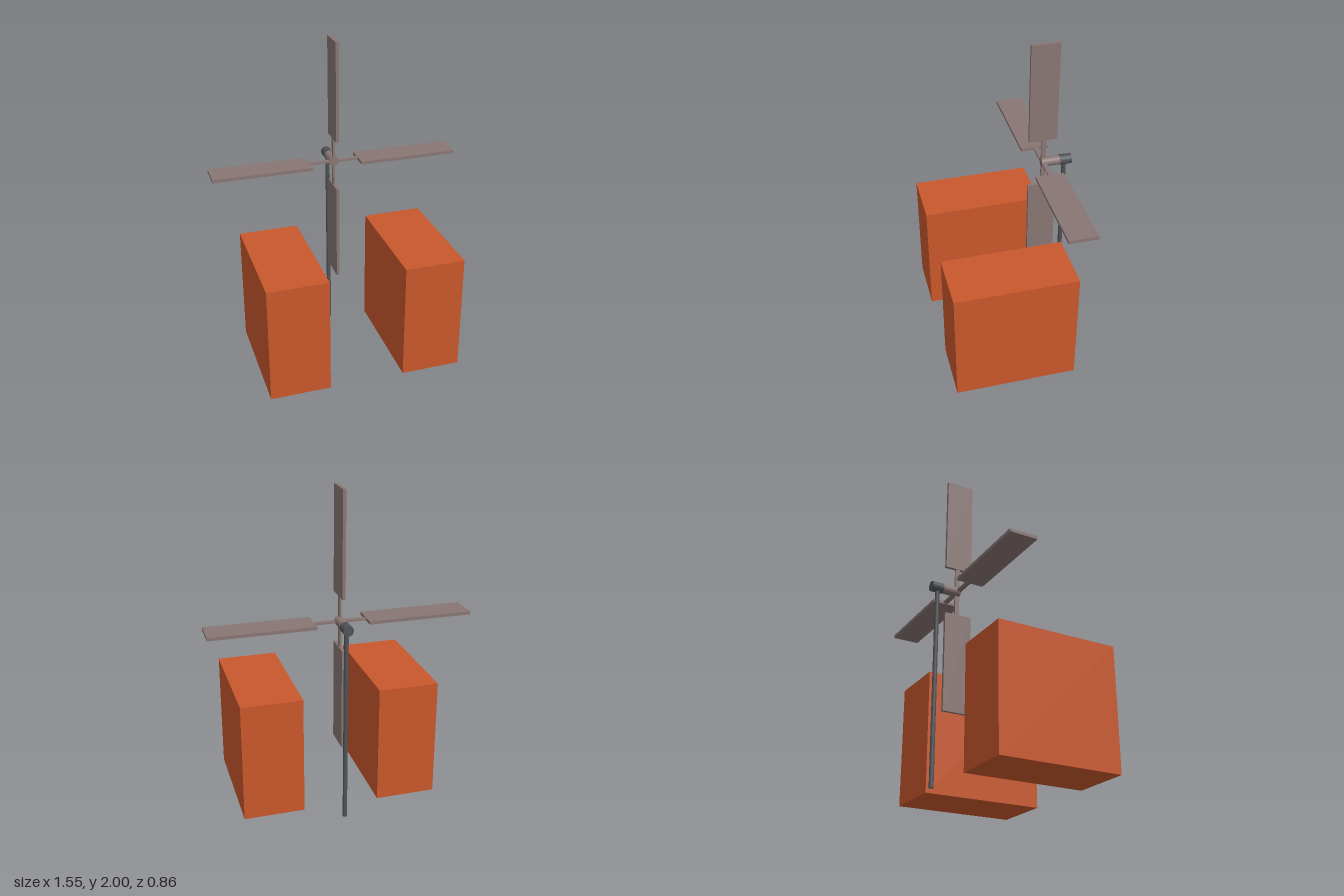
import * as THREE from 'three';

const HUB_Y = 1.225;

export function createModel() {
  const orange = new THREE.MeshStandardMaterial({ name: 'orange', color: 0xc9582c });
  const warmGrey = new THREE.MeshStandardMaterial({ name: 'warm grey', color: 0x887673 });
  const darkGrey = new THREE.MeshStandardMaterial({ name: 'dark grey', color: 0x505357 });

  const model = new THREE.Group();
  model.name = 'windmillWithBlocks';

  const add = (parent, name, geometry, material, x, y, z) => {
    const mesh = new THREE.Mesh(geometry, material);
    mesh.name = name;
    mesh.position.set(x, y, z);
    parent.add(mesh);
    return mesh;
  };

  // Two large blocks either side of the rotor
  for (const side of [1, -1]) {
    add(model, side > 0 ? 'leftBlock' : 'rightBlock',
      new THREE.BoxGeometry(0.372, 0.742, 0.746), orange, side * 0.42, 0.408, 0.059);
  }

  // Pole and the motor housing on top of it
  add(model, 'pole', new THREE.CylinderGeometry(0.0135, 0.0135, HUB_Y, 24), darkGrey, 0, HUB_Y / 2, -0.39);
  add(model, 'motor', new THREE.CylinderGeometry(0.031, 0.031, 0.073, 32).rotateX(Math.PI / 2),
    darkGrey, 0, HUB_Y, -0.395);

  // Rotor: hub with four arms, each carrying a flat paddle
  const rotor = new THREE.Group();
  rotor.name = 'rotor';
  rotor.position.y = HUB_Y;
  model.add(rotor);
  add(rotor, 'hub', new THREE.CylinderGeometry(0.029, 0.029, 0.114, 32).rotateX(Math.PI / 2),
    warmGrey, 0, 0, -0.302);

  for (let i = 0; i < 4; i++) {
    const blade = new THREE.Group();
    blade.name = 'blade' + (i + 1);
    blade.rotation.z = i * Math.PI / 2;
    add(blade, 'arm', new THREE.BoxGeometry(0.012, 0.16, 0.028), warmGrey, 0, 0.08, -0.259);
    add(blade, 'paddle', new THREE.BoxGeometry(0.019, 0.62, 0.171), warmGrey, 0, 0.465, -0.2525);
    rotor.add(blade);
  }
  return model;
}
